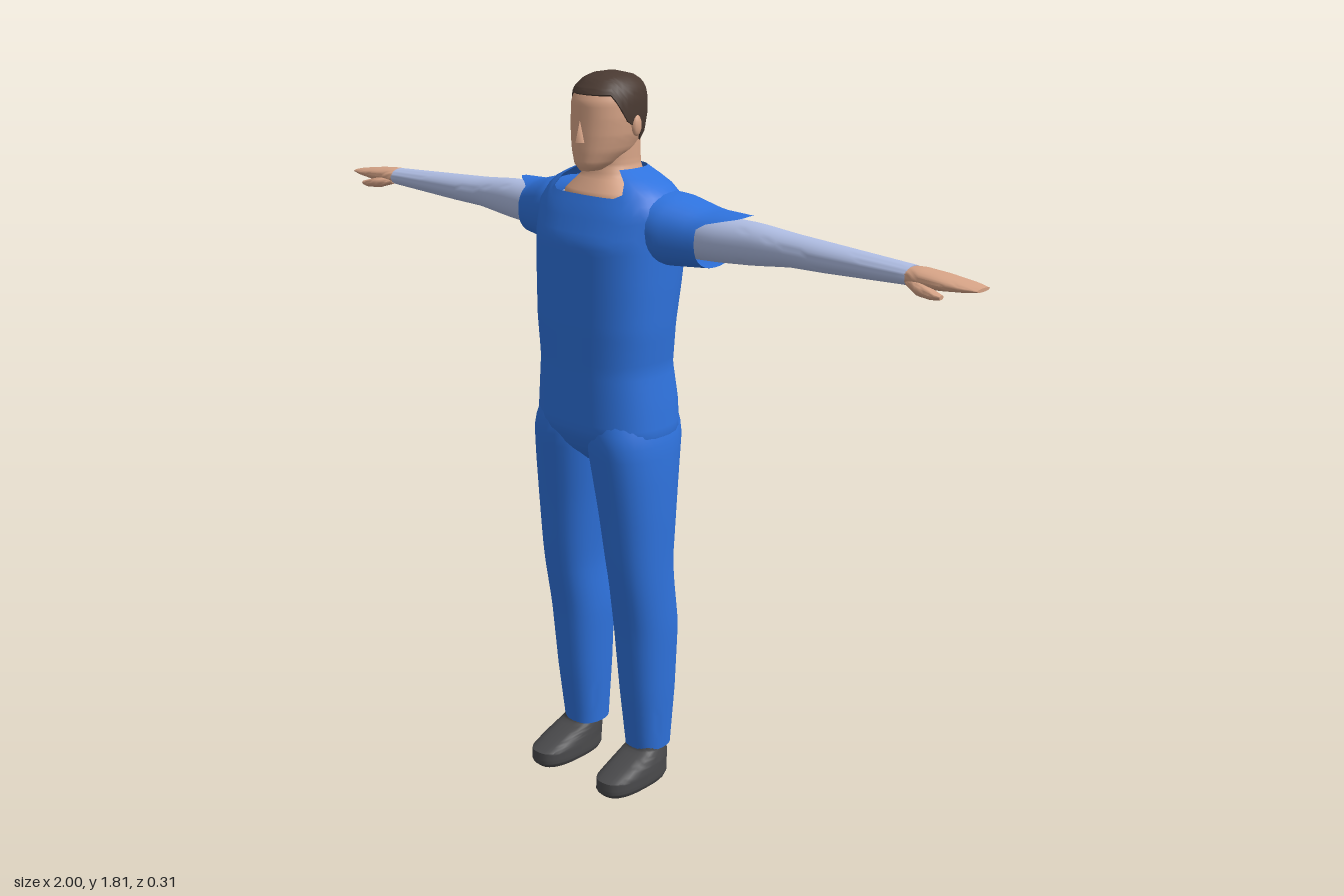
import * as THREE from 'three';
import { toCreasedNormals } from 'three/addons/utils/BufferGeometryUtils.js';

const mat = (name, color, side = THREE.FrontSide) => {
  const m = new THREE.MeshStandardMaterial({ color, side });
  m.name = name;
  return m;
};
const lerp = THREE.MathUtils.lerp;
const ramp = (v, a, b) => THREE.MathUtils.clamp((v - a) / (b - a), 0, 1);

// Interpolated row: [s, a0, a1, b0, b1] = station and extents on the two other axes
function sectionAt(rows, s) {
  let i = 0;
  while (i < rows.length - 2 && s > rows[i + 1][0]) i++;
  const k = ramp(s, rows[i][0], rows[i + 1][0]);
  return rows[i].map((v, j) => lerp(v, rows[i + 1][j], k));
}

// Rounded cross-sections swept along y (a = x, b = z) or along x (a = y, b = z).
// start and end may be functions of the angle, which gives shaped hems.
function loft(rows, o = {}) {
  const { axis = 'y', side = 1, power = 2.4, seg = 28, steps = 28, caps = true } = o;
  const start = o.start ?? rows[0][0], end = o.end ?? rows[rows.length - 1][0];
  const at = (v, th) => (typeof v === 'function' ? v(th) : v);
  const pos = [], index = [];
  const put = (s, a, b) => (axis === 'y' ? pos.push(a * side, s, b) : pos.push(s * side, a, b));
  const bulge = (v) => Math.sign(v) * Math.pow(Math.abs(v), 2 / power);
  const flip = (axis === 'y') === (side > 0);
  const tri = (a, b, c) => (flip ? index.push(a, c, b) : index.push(a, b, c));
  for (let j = 0; j <= steps; j++) {
    for (let i = 0; i < seg; i++) {
      const th = (i / seg) * Math.PI * 2;
      const s = lerp(at(start, th), at(end, th), j / steps);
      const [, a0, a1, b0, b1] = sectionAt(rows, s);
      put(s, (a0 + a1) / 2 + ((a1 - a0) / 2) * bulge(Math.cos(th)),
        (b0 + b1) / 2 + ((b1 - b0) / 2) * bulge(Math.sin(th)));
    }
  }
  for (let j = 0; j < steps; j++) {
    for (let i = 0; i < seg; i++) {
      const a = j * seg + i, b = j * seg + ((i + 1) % seg);
      tri(a, b, b + seg);
      tri(a, b + seg, a + seg);
    }
  }
  if (caps) {
    for (const [s, first] of [[at(start, 0), 0], [at(end, 0), steps * seg]]) {
      const [, a0, a1, b0, b1] = sectionAt(rows, s);
      const c = pos.length / 3;
      put(s, (a0 + a1) / 2, (b0 + b1) / 2);
      for (let i = 0; i < seg; i++) {
        const p = first + i, q = first + ((i + 1) % seg);
        first ? tri(p, q, c) : tri(q, p, c);
      }
    }
  }
  const g = new THREE.BufferGeometry();
  g.setAttribute('position', new THREE.Float32BufferAttribute(pos, 3));
  g.setIndex(index);
  return toCreasedNormals(g, 0.9);
}

export function createModel() {
  const blue = mat('blue cloth', 0x2f73de, THREE.DoubleSide);
  const pale = mat('pale undershirt', 0xb0bee4);
  const skin = mat('skin', 0xd6a386);
  const brown = mat('brown hair', 0x4a3a32, THREE.DoubleSide);
  const grey = mat('dark grey shoe', 0x4a4a4c);

  const model = new THREE.Group();
  model.name = 'standingMan';
  const add = (name, geometry, material) => {
    const mesh = new THREE.Mesh(geometry, material);
    mesh.name = name;
    model.add(mesh);
    return mesh;
  };

  // Shirt body, with a neckline cut lower at the front
  const torso = [
    [0.87, -0.11, 0.11, -0.06, 0.07], [0.91, -0.17, 0.17, -0.105, 0.115],
    [0.96, -0.184, 0.184, -0.13, 0.143], [1.03, -0.178, 0.178, -0.13, 0.143],
    [1.12, -0.168, 0.168, -0.118, 0.143], [1.22, -0.178, 0.178, -0.118, 0.145],
    [1.32, -0.183, 0.183, -0.135, 0.145], [1.43, -0.186, 0.186, -0.152, 0.145],
    [1.5, -0.195, 0.195, -0.138, 0.116], [1.55, -0.165, 0.165, -0.115, 0.09],
    [1.575, -0.115, 0.115, -0.1, 0.075], [1.592, -0.075, 0.075, -0.088, 0.062],
  ];
  const neckline = (th) => 1.592 - 0.057 * ramp(Math.sin(th), 0.6, 0.85);
  add('shirt', loft(torso, { end: neckline, power: 2.5, seg: 40, steps: 40, caps: false }), blue);

  // Upper chest and neck
  add('neck', loft([
    [1.48, -0.12, 0.12, -0.09, 0.095], [1.535, -0.11, 0.11, -0.085, 0.09],
    [1.575, -0.07, 0.07, -0.08, 0.06], [1.6, -0.06, 0.06, -0.075, 0.05],
    [1.67, -0.058, 0.058, -0.075, 0.05],
  ]), skin);

  // Head and hair
  const head = [
    [1.59, -0.022, 0.022, 0.03, 0.096], [1.605, -0.042, 0.042, -0.01, 0.105],
    [1.635, -0.062, 0.062, -0.06, 0.105], [1.67, -0.073, 0.073, -0.08, 0.103],
    [1.71, -0.078, 0.078, -0.086, 0.1], [1.75, -0.077, 0.077, -0.087, 0.098],
    [1.775, -0.071, 0.071, -0.082, 0.085], [1.795, -0.055, 0.055, -0.066, 0.062],
    [1.806, -0.033, 0.033, -0.04, 0.036], [1.81, -0.006, 0.006, -0.012, 0.01],
  ];
  add('head', loft(head, { power: 2.15 }), skin);
  const hairRows = head.map(([y, a, b, c, d]) => [y + 0.003, a - 0.005, b + 0.005, c - 0.005, d + 0.003]);
  const hairline = (th) => {
    const f = Math.sin(th);
    return f > 0 ? lerp(1.695, 1.768, ramp(f, 0.1, 0.6)) : lerp(1.695, 1.652, ramp(-f, 0.1, 0.6));
  };
  add('hair', loft(hairRows, { start: hairline, power: 2.15, steps: 16, seg: 36 }), brown);

  // Nose
  const nose = new THREE.ConeGeometry(0.014, 0.05, 4);
  nose.scale(1, 1, 1.1).translate(0, 1.683, 0.102);
  add('nose', nose, skin);

  for (const side of [1, -1]) {
    const label = side > 0 ? 'left' : 'right';

    const ear = new THREE.SphereGeometry(1, 10, 8);
    ear.scale(0.009, 0.025, 0.015).translate(side * 0.08, 1.693, -0.005);
    add(label + 'Ear', ear, skin);

    // Short sleeve with a ragged hem that is longest on top
    const peak = Math.atan2(side > 0 ? 0.0 : -0.4, 1);
    const hem = (th) => 0.287 + (side > 0 ? 0.09 : 0.08) * ramp(Math.cos(th - peak), 0.55, 0.95);
    add(label + 'Sleeve', loft([
      [0.1, 1.4, 1.55, -0.12, 0.08], [0.19, 1.375, 1.542, -0.135, 0.065],
      [0.28, 1.38, 1.517, -0.132, 0.03], [0.38, 1.39, 1.512, -0.125, 0.0],
    ], { axis: 'x', side, power: 2.3, end: hem, steps: 14, caps: false }), blue);

    // Arm, hand and thumb
    add(label + 'Arm', loft([
      [0.18, 1.39, 1.505, -0.115, 0.005], [0.3, 1.395, 1.502, -0.115, 0.0],
      [0.4, 1.402, 1.5, -0.113, -0.012], [0.5, 1.414, 1.49, -0.11, -0.02],
      [0.6, 1.418, 1.485, -0.104, -0.018], [0.83, 1.431, 1.474, -0.085, -0.018],
    ], { axis: 'x', side, power: 2.1 }), pale);
    add(label + 'Hand', loft([
      [0.81, 1.434, 1.471, -0.08, -0.022], [0.85, 1.432, 1.473, -0.088, -0.014],
      [0.91, 1.434, 1.467, -0.093, -0.012], [0.97, 1.44, 1.458, -0.089, -0.02],
      [1.0, 1.445, 1.453, -0.078, -0.03],
    ], { axis: 'x', side, seg: 20, steps: 14 }), skin);
    add(label + 'Thumb', loft([
      [0.83, 1.435, 1.45, -0.045, -0.02], [0.87, 1.422, 1.45, -0.035, 0.003],
      [0.91, 1.42, 1.44, -0.022, 0.005], [0.93, 1.424, 1.434, -0.015, 0.0],
    ], { axis: 'x', side, seg: 12, steps: 8 }), skin);

    // Trouser leg
    add(label + 'TrouserLeg', loft([
      [0.09, 0.056, 0.163, -0.085, 0.03], [0.25, 0.046, 0.175, -0.095, 0.05],
      [0.43, 0.037, 0.184, -0.1, 0.068], [0.56, 0.04, 0.186, -0.08, 0.09],
      [0.62, 0.034, 0.187, -0.077, 0.098], [0.75, 0.018, 0.19, -0.09, 0.112],
      [0.86, 0.002, 0.19, -0.105, 0.126], [0.95, -0.01, 0.186, -0.122, 0.138],
      [1.0, -0.01, 0.17, -0.115, 0.125],
    ], { side, power: 2.3 }), blue);

    // Shoe
    add(label + 'Shoe', loft([
      [0, 0.068, 0.166, -0.064, 0.145], [0.012, 0.062, 0.172, -0.07, 0.155],
      [0.042, 0.062, 0.172, -0.07, 0.153], [0.06, 0.063, 0.17, -0.07, 0.11],
      [0.09, 0.066, 0.161, -0.068, 0.03], [0.13, 0.07, 0.155, -0.065, 0.02],
    ], { side, power: 2.6 }), grey);
  }
  return model;
}
